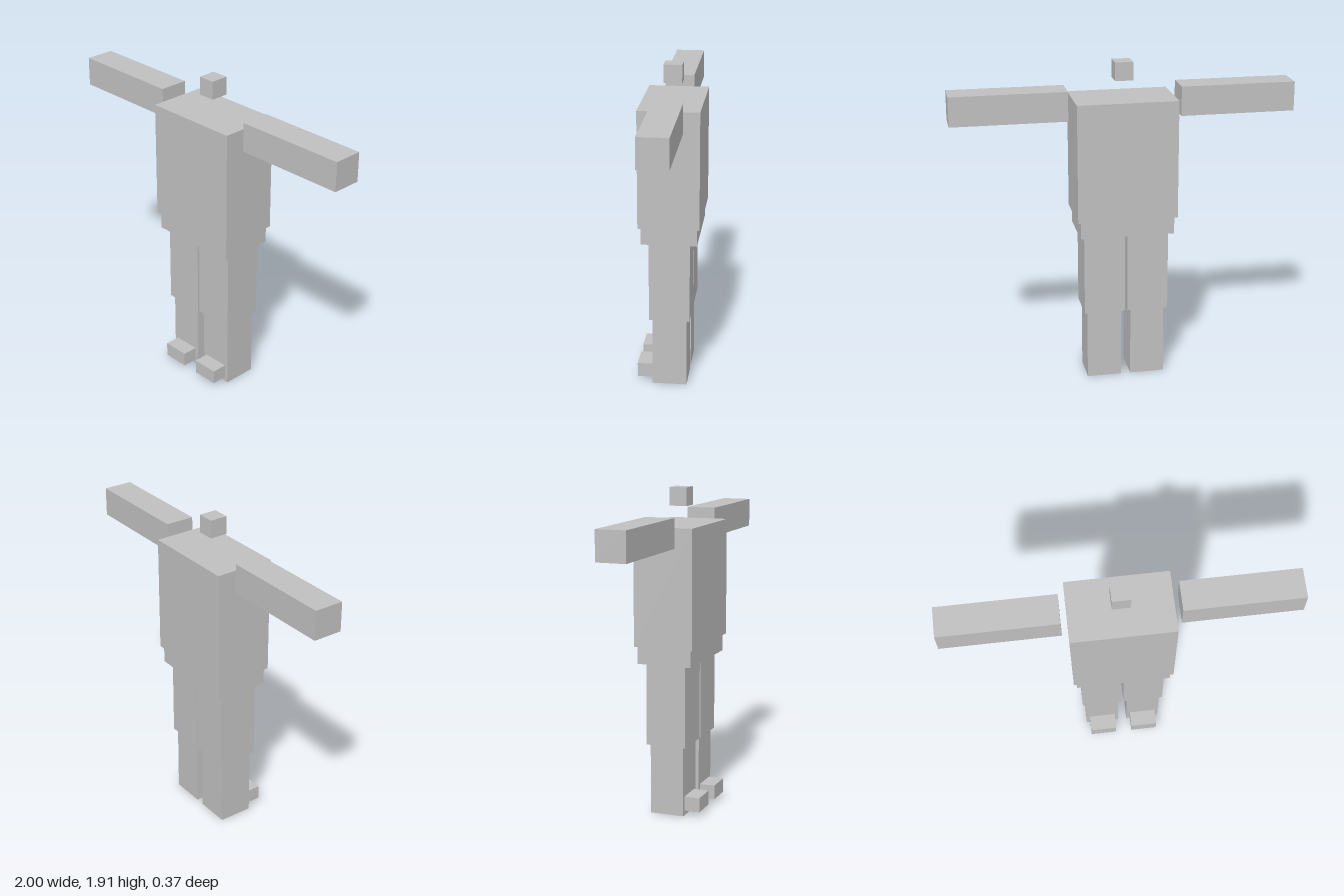
import * as THREE from 'three';

export function createModel() {
  const group = new THREE.Group();
  const grey = new THREE.MeshStandardMaterial({ color: 0xc0c0c0 });
  grey.name = 'plain grey';
  const bodyZ = -0.008; // shared depth centre of the body blocks

  // Box given by its extents on each axis
  const block = (name, [x0, x1], [y0, y1], [z0, z1]) => {
    const mesh = new THREE.Mesh(new THREE.BoxGeometry(x1 - x0, y1 - y0, z1 - z0), grey);
    mesh.position.set((x0 + x1) / 2, (y0 + y1) / 2, (z0 + z1) / 2);
    mesh.name = name;
    group.add(mesh);
  };
  const depth = (half) => [bodyZ - half, bodyZ + half];

  // Central blocks
  block('head', [-0.052, 0.052], [1.803, 1.91], depth(0.053));
  block('torso', [-0.293, 0.293], [1.007, 1.702], depth(0.178));
  block('pelvis', [-0.276, 0.276], [0.905, 1.007], depth(0.163));

  // Limbs, mirrored left and right
  for (const [side, s] of [['left', 1], ['right', -1]]) {
    const span = (inner, outer) => (s > 0 ? [inner, outer] : [-outer, -inner]);
    block(side + 'Arm', span(0.328, 1), [1.59, 1.762], depth(0.087));
    block(side + 'Thigh', span(0.007, 0.25), [0.42, 0.905], depth(0.12));
    block(side + 'Shin', span(0.028, 0.233), [0, 0.42], depth(0.102));
    block(side + 'Foot', span(0.05, 0.211), [0.029, 0.115], [0.094, 0.187]);
  }
  return group;
}
